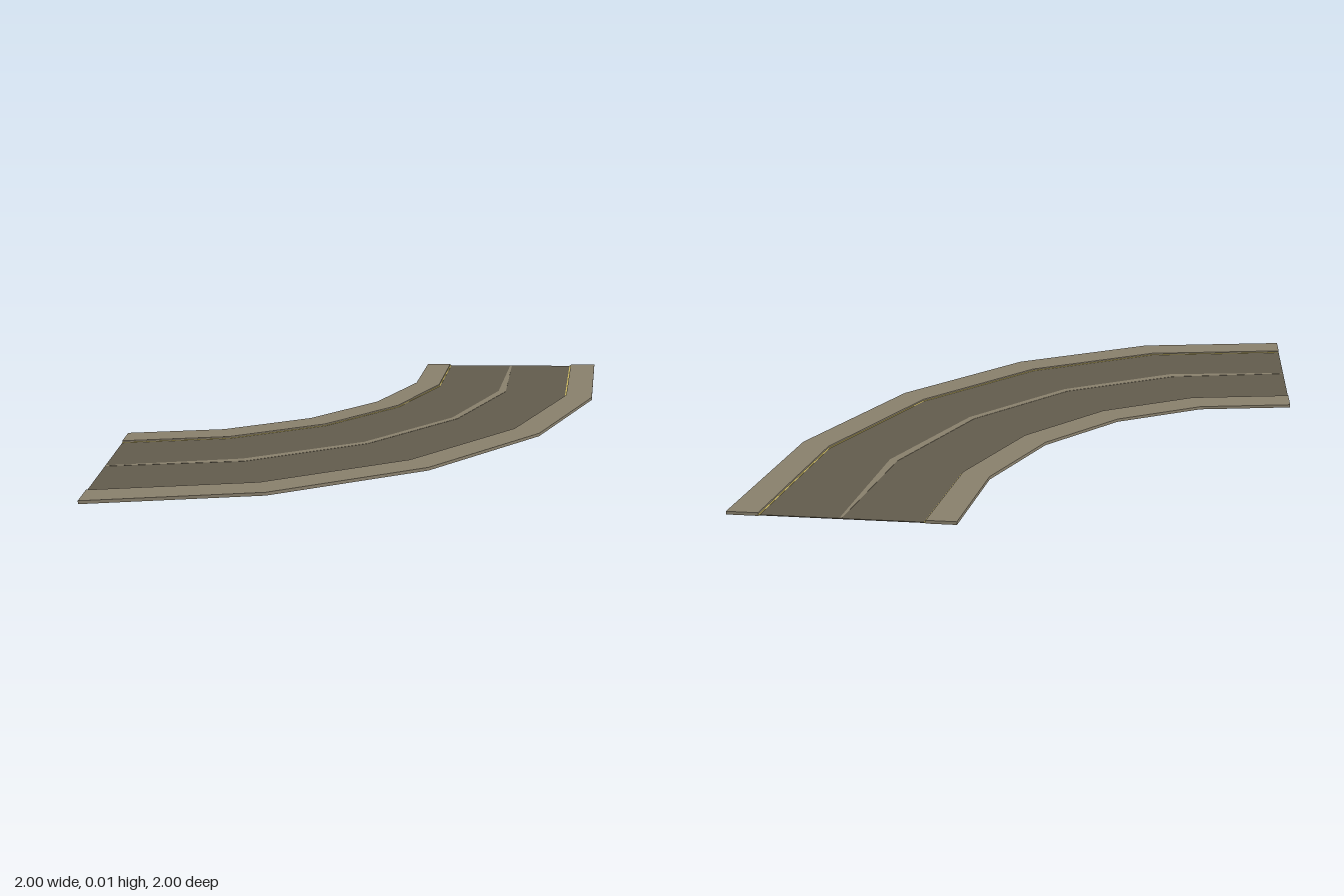
import * as THREE from 'three';

const STEPS = 5; // straight facets in the quarter turn
const paint = (name, color) => {
  const m = new THREE.MeshStandardMaterial({ color });
  m.name = name;
  return m;
};

// Flat slab between two radii (numbers, or one value per joint), turning about (-1, -1)
function bend(name, material, inner, outer, y0, y1, first = 0, last = STEPS) {
  const at = (r, i) => {
    const a = (i / STEPS) * Math.PI / 2;
    const d = Array.isArray(r) ? r[i] : r;
    return new THREE.Vector2(-1 + d * Math.cos(a), 1 - d * Math.sin(a));
  };
  const points = [];
  for (let i = first; i <= last; i++) points.push(at(outer, i));
  for (let i = last; i >= first; i--) points.push(at(inner, i));
  const geometry = new THREE.ExtrudeGeometry(new THREE.Shape(points), {
    depth: y1 - y0, bevelEnabled: false,
  });
  geometry.rotateX(-Math.PI / 2);
  geometry.translate(0, y0, 0);
  const mesh = new THREE.Mesh(geometry, material);
  mesh.name = name;
  return mesh;
}

export function createModel() {
  const group = new THREE.Group();
  group.name = 'curvedRoad';
  const pavement = paint('pavement', 0x8a816d);
  const asphalt = paint('asphalt', 0x635c4d);
  const yellow = paint('yellowLine', 0xc8b660);

  // Raised pavements along both sides
  group.add(bend('innerPavement', pavement, 1.2, 1.307, 0, 0.012));
  group.add(bend('outerPavement', pavement, 1.887, 2, 0, 0.012));

  // Roadway with narrow yellow edge lines
  group.add(bend('roadway', asphalt, 1.312, 1.881, 0.002, 0.005));
  group.add(bend('innerEdgeLine', yellow, 1.307, 1.312, 0.001, 0.006));
  group.add(bend('outerEdgeLine', yellow, 1.881, 1.887, 0.001, 0.006));

  // Centre line, narrowing toward both ends
  const half = [0.004, 0.016, 0.013, 0.013, 0.016, 0.004];
  const lineIn = half.map((h) => 1.6 - h);
  const lineOut = half.map((h) => 1.6 + h);
  group.add(bend('centreLine', pavement, lineIn, lineOut, 0.004, 0.006));

  // Dashes showing on the underside
  for (const i of [1, 3]) {
    group.add(bend('undersideDash', pavement, lineIn, lineOut, 0.001, 0.003, i, i + 1));
  }
  return group;
}
